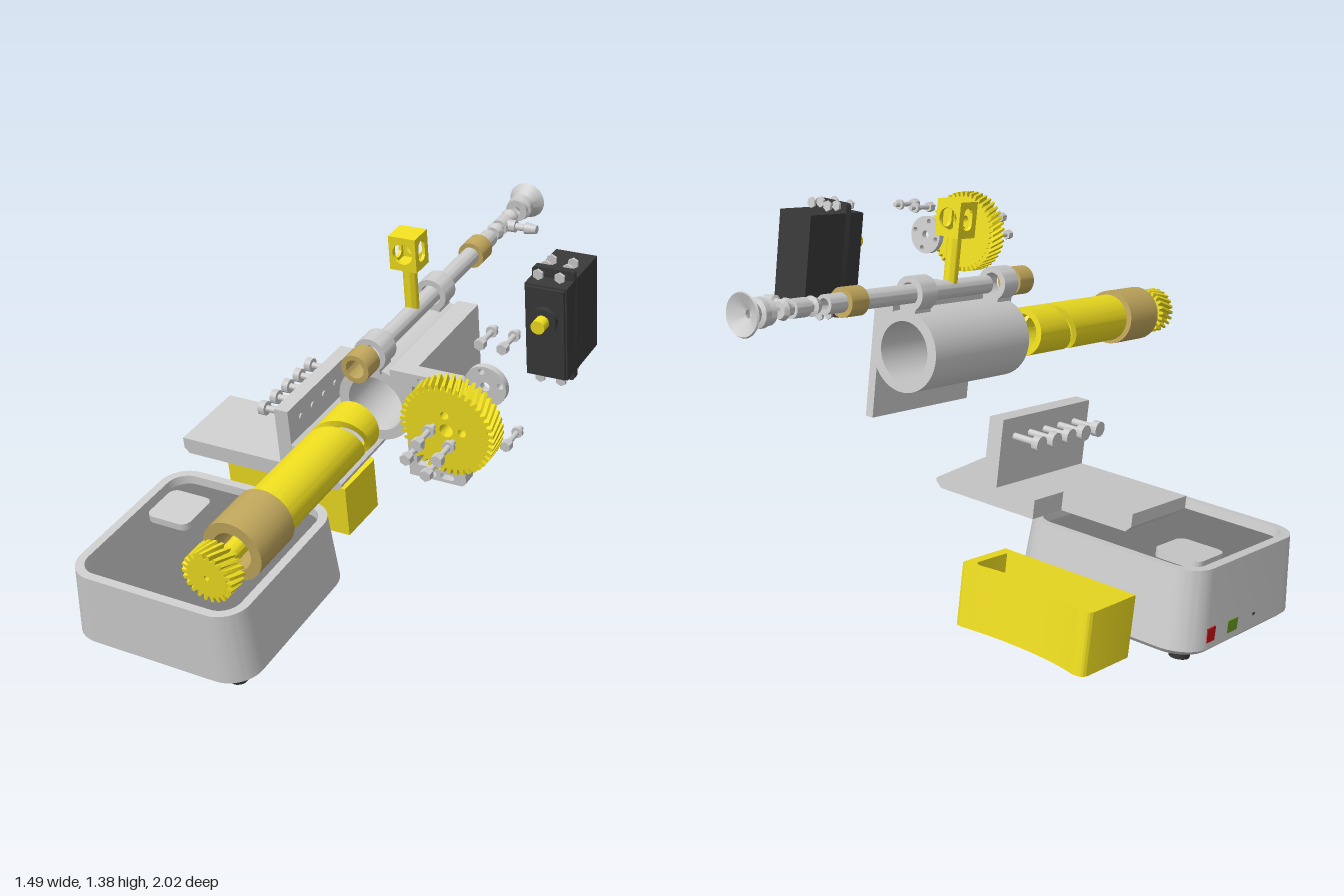
import * as THREE from 'three';
import { toCreasedNormals } from 'three/addons/utils/BufferGeometryUtils.js';

const GREY = 0xcccccc, YELLOW = 0xeedd20, TAN = 0xc0a65c, DARK = 0x383838;

export function createModel() {
  const model = new THREE.Group();
  const rig = new THREE.Group(); // everything leans by the same angle
  rig.name = 'tiltedAssembly';
  rig.rotation.x = 0.17;
  model.add(rig);

  const add = (name, geo, color = GREY, x = 0, y = 0, z = 0) => {
    const mesh = new THREE.Mesh(toCreasedNormals(geo, 0.6),
      new THREE.MeshStandardMaterial({ color, side: THREE.DoubleSide }));
    mesh.name = name;
    mesh.position.set(x, y, z);
    rig.add(mesh);
    return mesh;
  };
  const box = (name, x0, x1, y0, y1, z0, z1, color) =>
    add(name, new THREE.BoxGeometry(x1 - x0, y1 - y0, z1 - z0), color, (x0 + x1) / 2, (y0 + y1) / 2, (z0 + z1) / 2);
  // Turned part along z; profile is a list of [radius, z]
  const turned = (name, profile, x, y, color, sides = 32) =>
    add(name, new THREE.LatheGeometry(profile.map(([r, z]) => new THREE.Vector2(r, z)), sides).rotateX(Math.PI / 2), color, x, y);
  const rod = (name, r, z0, z1, x, y, color, sides) =>
    turned(name, [[0, z0], [r, z0], [r, z1], [0, z1]], x, y, color, sides);
  const pipe = (name, r, ri, z0, z1, x, y, color) =>
    turned(name, [[ri, z0], [r, z0], [r, z1], [ri, z1], [ri, z0]], x, y, color);
  const extrude = (shape, depth) =>
    new THREE.ExtrudeGeometry(shape, { depth, bevelEnabled: false, curveSegments: 20 });
  const poly = pts => new THREE.Shape(pts.map(p => new THREE.Vector2(...p)));
  const circle = (x, y, r) => new THREE.Path().absarc(x, y, r, 0, Math.PI * 2);
  function rounded(x0, x1, y0, y1, r, s = new THREE.Shape()) {
    s.absarc(x1 - r, y1 - r, r, 0, Math.PI / 2);
    s.absarc(x0 + r, y1 - r, r, Math.PI / 2, Math.PI);
    s.absarc(x0 + r, y0 + r, r, Math.PI, Math.PI * 1.5);
    s.absarc(x1 - r, y0 + r, r, Math.PI * 1.5, Math.PI * 2);
    s.closePath();
    return s;
  }
  // Skin through loops of [x, y, z] points
  function skin(rings) {
    const pos = [], n = rings[0].length;
    for (let i = 0; i < rings.length - 1; i++)
      for (let j = 0; j < n; j++) {
        const k = (j + 1) % n, a = rings[i][j], b = rings[i][k], c = rings[i + 1][k], d = rings[i + 1][j];
        pos.push(...a, ...c, ...b, ...a, ...d, ...c);
      }
    const g = new THREE.BufferGeometry();
    g.setAttribute('position', new THREE.Float32BufferAttribute(pos, 3));
    g.computeVertexNormals();
    return g;
  }
  // Bolt along z with its hex head at the +z end
  const bolt = (name, x, y, z0, z1) => {
    rod(name + 'Shank', 0.008, z0, z1, x, y, GREY, 12);
    rod(name + 'Head', 0.017, z1 - 0.022, z1, x, y, GREY, 6);
    rod(name + 'Washer', 0.017, z0 + 0.02, z0 + 0.03, x, y, GREY, 16);
  };
  // Helical gear
  function gear(name, teeth, r, root, z0, z1, twist, x, y, holes = []) {
    const pts = [];
    for (let i = 0; i < teeth; i++)
      [[0, root], [0.3, root], [0.42, r], [0.82, r]].forEach(([f, q]) => {
        const a = (i + f) / teeth * Math.PI * 2;
        pts.push([Math.cos(a) * q, Math.sin(a) * q]);
      });
    const s = poly(pts);
    s.holes.push(...holes);
    const g = new THREE.ExtrudeGeometry(s, { depth: z1 - z0, steps: 3, bevelEnabled: false, curveSegments: 8 });
    const p = g.attributes.position;
    for (let i = 0; i < p.count; i++) {
      const a = twist * p.getZ(i) / (z1 - z0), px = p.getX(i), py = p.getY(i);
      p.setXY(i, px * Math.cos(a) - py * Math.sin(a), px * Math.sin(a) + py * Math.cos(a));
    }
    add(name, g, YELLOW, x, y, z0);
  }

  // Base: tapered rounded tray
  const loop = (w, d, y, r) => rounded(-w / 2, w / 2, -d / 2, d / 2, r).getPoints(8).slice(0, -1).map(p => [p.x, y, p.y]);
  add('base', skin([loop(0.01, 0.01, 0.1, 0.004), loop(0.66, 0.65, 0.1, 0.1), loop(0.69, 0.68, 0.115, 0.11),
    loop(0.652, 0.65, 0.366, 0.1), loop(0.59, 0.59, 0.366, 0.07), loop(0.585, 0.585, 0.33, 0.07)]), GREY, -0.402, 0, 0.15);
  const floorShape = (x0, x1, z0, z1, r, h) => extrude(rounded(x0, x1, -z1, -z0, r), h).rotateX(-Math.PI / 2);
  add('baseFloor', floorShape(-0.696, -0.108, -0.144, 0.444, 0.07, 0.01), 0x777777, 0, 0.325);
  add('basePad', floorShape(-0.665, -0.5, -0.06, 0.105, 0.03, 0.025), GREY, 0, 0.335);
  for (const x of [-0.67, -0.134]) for (const z of [-0.11, 0.41])
    add('foot', new THREE.CylinderGeometry(0.036, 0.032, 0.028, 24), DARK, x, 0.09, z);
  box('redSwitch', -0.746, -0.73, 0.135, 0.18, -0.09, -0.045, 0xcc1111);
  box('greenSocket', -0.746, -0.73, 0.135, 0.175, 0.03, 0.09, 0x6aa020);
  box('smallSocket', -0.744, -0.73, 0.148, 0.163, 0.185, 0.2, DARK);

  // Yellow bin, open above and below, with a hollowed back
  const binOutline = (i, target) => {
    target.moveTo(-0.63 + i, 0.34 + i);
    target.lineTo(-0.15 - i, 0.34 + i);
    target.lineTo(-0.145 - i, 0.53 - i);
    target.quadraticCurveTo(-0.145 - i, 0.555 - i, -0.18 - i, 0.55 - i);
    target.bezierCurveTo(-0.3, 0.53 - i, -0.48, 0.53 - i, -0.59 + i, 0.568 - i);
    target.quadraticCurveTo(-0.63 + i, 0.575 - i, -0.63 + i, 0.54 - i);
    target.closePath();
    return target;
  };
  const bin = binOutline(0, new THREE.Shape());
  bin.holes.push(binOutline(0.03, new THREE.Path()));
  add('bin', extrude(bin, 0.195).rotateX(-Math.PI / 2), YELLOW, 0, 0.12);

  // Arm bracket: plate, post and sloping rib
  add('bracketArm', extrude(poly([[-0.365, 0.507], [-0.02, 0.507], [0, 0.525], [0, 0.535], [-0.175, 0.645],
    [-0.175, 0.768], [-0.225, 0.768], [-0.225, 0.564], [-0.365, 0.564]]), 0.43), GREY, 0, 0, -0.52);
  add('bracketPlate', extrude(poly([[-0.61, 0.525], [-0.592, 0.507], [-0.365, 0.507], [-0.365, 0.564], [-0.61, 0.564]]), 0.29), GREY, 0, 0, -0.38);
  for (let i = 0; i < 5; i++) {
    const z = -0.163 - i * 0.0735;
    const along = (name, r, x0, x1, sides) =>
      add(name, new THREE.CylinderGeometry(r, r, x1 - x0, sides).rotateZ(Math.PI / 2), GREY, (x0 + x1) / 2, 0.71, z);
    along('bracketBoltShank', 0.011, -0.31, -0.17, 12);
    along('bracketBoltHead', 0.024, -0.325, -0.302, 16);
    along('bracketNut', 0.024, 0.31, 0.33, 6);
  }

  // Sleeve housing: ring with side plate
  const X = 0.162, Y = 0.887, TY = 1.063;
  const body = new THREE.Shape();
  body.moveTo(0.264, 0.657);
  body.lineTo(0.292, 0.657);
  body.lineTo(0.292, 1.02);
  body.lineTo(0.22, 1.02);
  body.absarc(X, Y, 0.125, 1.09, Math.PI * 2 - 0.61);
  body.closePath();
  body.holes.push(circle(X, Y, 0.092));
  add('sleeveHousing', extrude(body, 0.455), GREY, 0, 0, -0.53);
  // Servo mounting frame
  const frame = rounded(0.27, 0.455, 0.657, 1.02, 0.02);
  frame.holes.push(rounded(0.292, 0.405, 0.7, 0.978, 0.004, new THREE.Path()));
  for (const y of [0.678, 0.999]) for (const x of [0.31, 0.37])
    frame.holes.push(rounded(x, x + 0.045, y - 0.01, y + 0.01, 0.009, new THREE.Path()));
  add('servoFrame', extrude(frame, 0.05), GREY, 0, 0, -0.125);
  // Lugs that guide the tube
  for (const z of [-0.53, -0.135]) {
    pipe('guideLug', 0.053, 0.034, z, z + 0.07, X, TY);
    box('guideLugWeb', X - 0.03, X + 0.03, 1.0, 1.027, z, z + 0.07);
  }

  // Sliding tube, collars, tee fitting and suction cup
  pipe('tube', 0.029, 0.018, -0.89, -0.165, X, TY);
  pipe('frontCollar', 0.046, 0.03, -0.045, 0.025, X, TY, TAN);
  pipe('rearCollar', 0.044, 0.028, -0.82, -0.75, X, TY, TAN);
  turned('teeBody', [[0.008, -1.065], [0.024, -1.065], [0.03, -1.05], [0.018, -1.03], [0.018, -1.02], [0.028, -1.02],
    [0.028, -0.965], [0.018, -0.965], [0.018, -0.945], [0.03, -0.94], [0.022, -0.92], [0.008, -0.92]], X, TY);
  add('teeNipple', new THREE.LatheGeometry([[0.02, 0], [0.02, 0.05], [0.012, 0.05], [0.012, 0.08], [0.02, 0.085],
    [0.014, 0.125], [0, 0.125]].map(p => new THREE.Vector2(...p)), 20).rotateZ(-Math.PI / 2), GREY, X, TY, -0.995);
  turned('suctionCup', [[0.012, -1.175], [0.06, -1.2], [0.063, -1.195], [0.035, -1.168], [0.03, -1.155], [0.043, -1.15],
    [0.043, -1.13], [0.034, -1.125], [0.038, -1.105], [0.015, -1.105]], X, TY);

  // Follower: stem with a pierced block on top
  add('followerStem', new THREE.CylinderGeometry(0.022, 0.022, 0.15, 24), YELLOW, X, 1.153, -0.342);
  const slotWall = poly([[-0.04, -0.055], [0.04, -0.055], [0.04, 0.055], [-0.04, 0.055]]);
  slotWall.holes.push(rounded(-0.02, 0.02, -0.032, 0.036, 0.019, new THREE.Path()));
  const roundWall = poly([[-0.045, -0.055], [0.045, -0.055], [0.045, 0.055], [-0.045, 0.055]]);
  roundWall.holes.push(circle(0, 0, 0.033));
  for (const s of [-1, 1]) {
    add('followerSide', extrude(slotWall, 0.01).translate(0, 0, -0.005).rotateY(Math.PI / 2), YELLOW, X + s * 0.04, 1.28, -0.342);
    add('followerFace', extrude(roundWall, 0.01).translate(0, 0, -0.005), YELLOW, X, 1.28, -0.342 + s * 0.035);
    add('followerEnd', new THREE.BoxGeometry(0.088, 0.012, 0.078), YELLOW, X, 1.28 + s * 0.049, -0.342);
  }

  // Drum split by a helical slot of one turn, starting at the underside
  const drum = (name, z0, z1) => {
    const rings = [];
    for (let i = 0; i <= 64; i++) {
      const t = i / 64, a = -Math.PI / 2 - t * Math.PI * 2, c = Math.cos(a), s = Math.sin(a);
      rings.push([[0.08, z0(t)], [0.08, z1(t)], [0.06, z1(t)], [0.06, z0(t)]].map(([r, z]) => [c * r, s * r, z]));
    }
    add(name, skin(rings), YELLOW, X, Y);
  };
  drum('drumRear', () => 0.05, t => 0.265 - 0.205 * t);
  drum('drumFront', t => 0.297 - 0.205 * t, () => 0.548);
  rod('drumCore', 0.06, 0.3, 0.548, X, Y, YELLOW);
  pipe('drumCollar', 0.093, 0.06, 0.558, 0.728, X, Y, TAN);
  rod('drumShaft', 0.028, 0.54, 0.8, X, Y, YELLOW);
  gear('driveGear', 22, 0.078, 0.062, 0.785, 0.852, 0.35, X, Y, [circle(0, 0, 0.008)]);

  // Large gear with four bolts, and servo horn
  const GX = 0.606, GY = 1.13;
  const around = [0, 1, 2, 3].map(i => [Math.cos(0.22 + i * Math.PI / 2) * 0.047, Math.sin(0.22 + i * Math.PI / 2) * 0.047]);
  gear('largeGear', 42, 0.138, 0.122, 0.245, 0.31, -0.16, GX, GY,
    [circle(0, 0, 0.02), ...around.map(([x, y]) => circle(x, y, 0.012))]);
  around.forEach(([x, y]) => bolt('gearBolt', GX + x, GY - 0.003 + y, 0.36, 0.46));
  const horn = new THREE.Shape().absarc(0, 0, 0.063, 0, Math.PI * 2);
  horn.holes.push(circle(0, 0, 0.014), ...around.map(([x, y]) => circle(x, y, 0.009)));
  add('servoHorn', extrude(horn, 0.02), GREY, GX, GY, 0.05);

  // Servo with ears, output shaft, bolts and nuts
  box('servoBody', 0.54, 0.672, 0.93, 1.235, -0.575, -0.345, DARK);
  box('servoCap', 0.545, 0.667, 0.935, 1.23, -0.345, -0.335, DARK);
  const ears = rounded(0.54, 0.672, 0.9, 1.265, 0.012);
  for (const x of [0.572, 0.64]) for (const y of [0.914, 1.25]) ears.holes.push(circle(x, y, 0.009));
  add('servoEars', extrude(ears, 0.022), DARK, 0, 0, -0.42);
  rod('servoBoss', 0.042, -0.34, -0.318, GX, GY, DARK);
  rod('servoShaft', 0.022, -0.33, -0.282, GX, GY, YELLOW, 16);
  for (const x of [0.572, 0.64]) {
    bolt('servoBolt', x, 1.232, -0.08, 0.03);
    bolt('servoBolt', x, 0.914, -0.08, 0.03);
    for (const y of [0.908, 1.255]) for (const z of [-0.375, -0.435, -0.475])
      rod('servoNut', 0.017, z, z + 0.008, x, y, GREY, 6);
  }
  return model;
}
